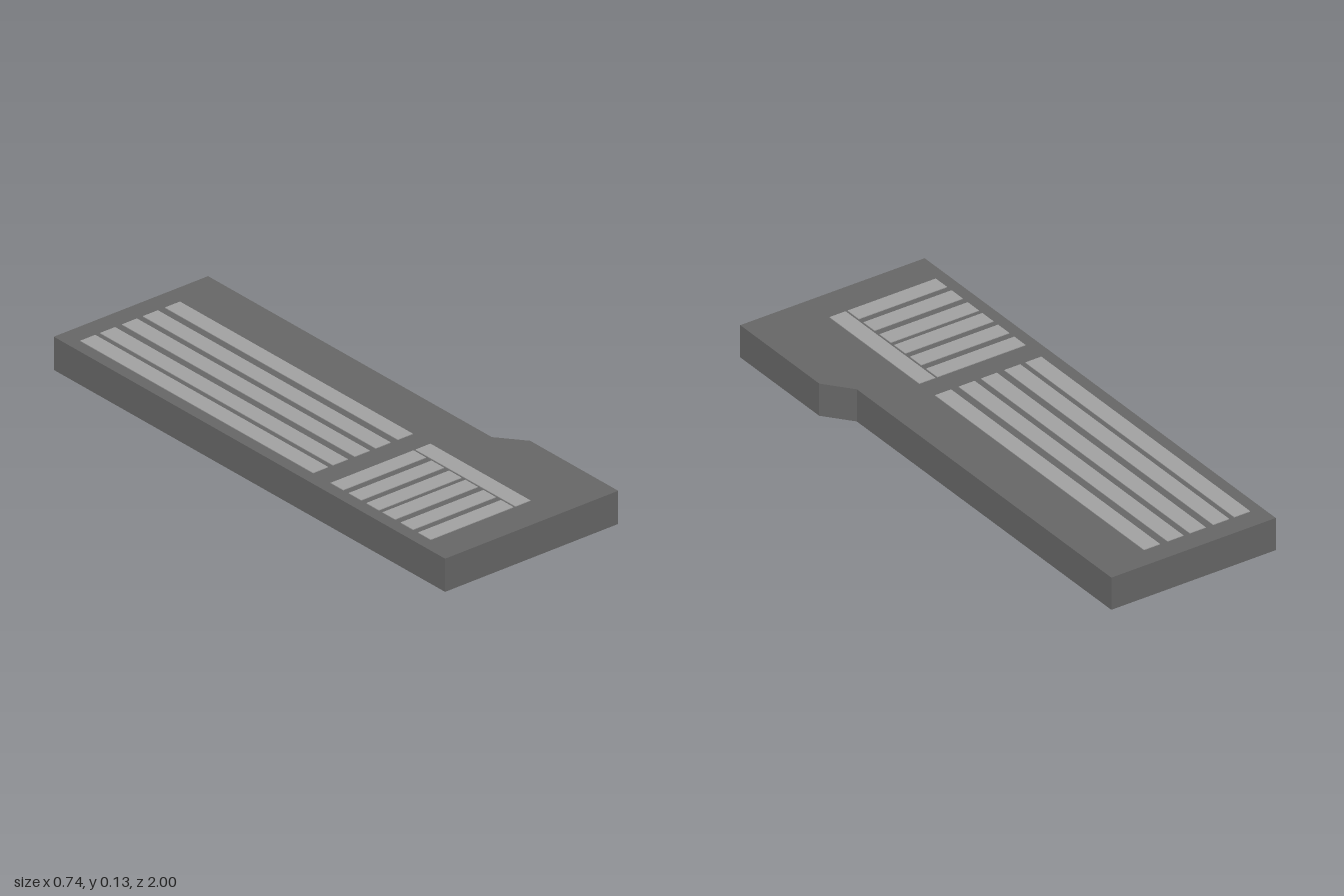
import * as THREE from 'three';

const BASE_TOP = 0.123;
const STRIP_TOP = 0.1255;

export function createModel() {
  const model = new THREE.Group();
  model.name = 'steppedSlab';
  const baseMaterial = new THREE.MeshStandardMaterial({ color: 0x666666 });
  const stripMaterial = new THREE.MeshStandardMaterial({ color: 0xa0a0a0 });

  // Slab: outline in (x, -z), extruded upwards, wider at the front left
  const outline = new THREE.Shape([
    [-0.368, -1], [0.368, -1], [0.368, -0.55], [0.288, -0.45], [0.288, 1], [-0.368, 1],
  ].map(([x, y]) => new THREE.Vector2(x, y)));
  const slab = new THREE.ExtrudeGeometry(outline, { depth: BASE_TOP, bevelEnabled: false });
  slab.rotateX(-Math.PI / 2);
  const base = new THREE.Mesh(slab, baseMaterial);
  base.name = 'baseSlab';
  model.add(base);

  // Thin raised strip covering x0..x1, z0..z1
  function addStrip(name, x0, x1, z0, z1) {
    const bottom = BASE_TOP - 0.001;
    const strip = new THREE.Mesh(new THREE.BoxGeometry(x1 - x0, STRIP_TOP - bottom, z1 - z0), stripMaterial);
    strip.position.set((x0 + x1) / 2, (STRIP_TOP + bottom) / 2, (z0 + z1) / 2);
    strip.name = name;
    model.add(strip);
  }

  // Long strips running front to back
  [-0.322, -0.238, -0.145, -0.056, 0.038].forEach((x, i) =>
    addStrip(`longStrip${i + 1}`, x, x + 0.064, -0.92, 0.27));

  // Short cross strips near the front
  [0.36, 0.452, 0.542, 0.625, 0.717, 0.807].forEach((z, i) =>
    addStrip(`crossStrip${i + 1}`, -0.322, 0.03, z, z + 0.064));

  // Strip closing the ends of the cross strips
  addStrip('sideStrip', 0.038, 0.102, 0.36, 0.871);

  return model;
}
